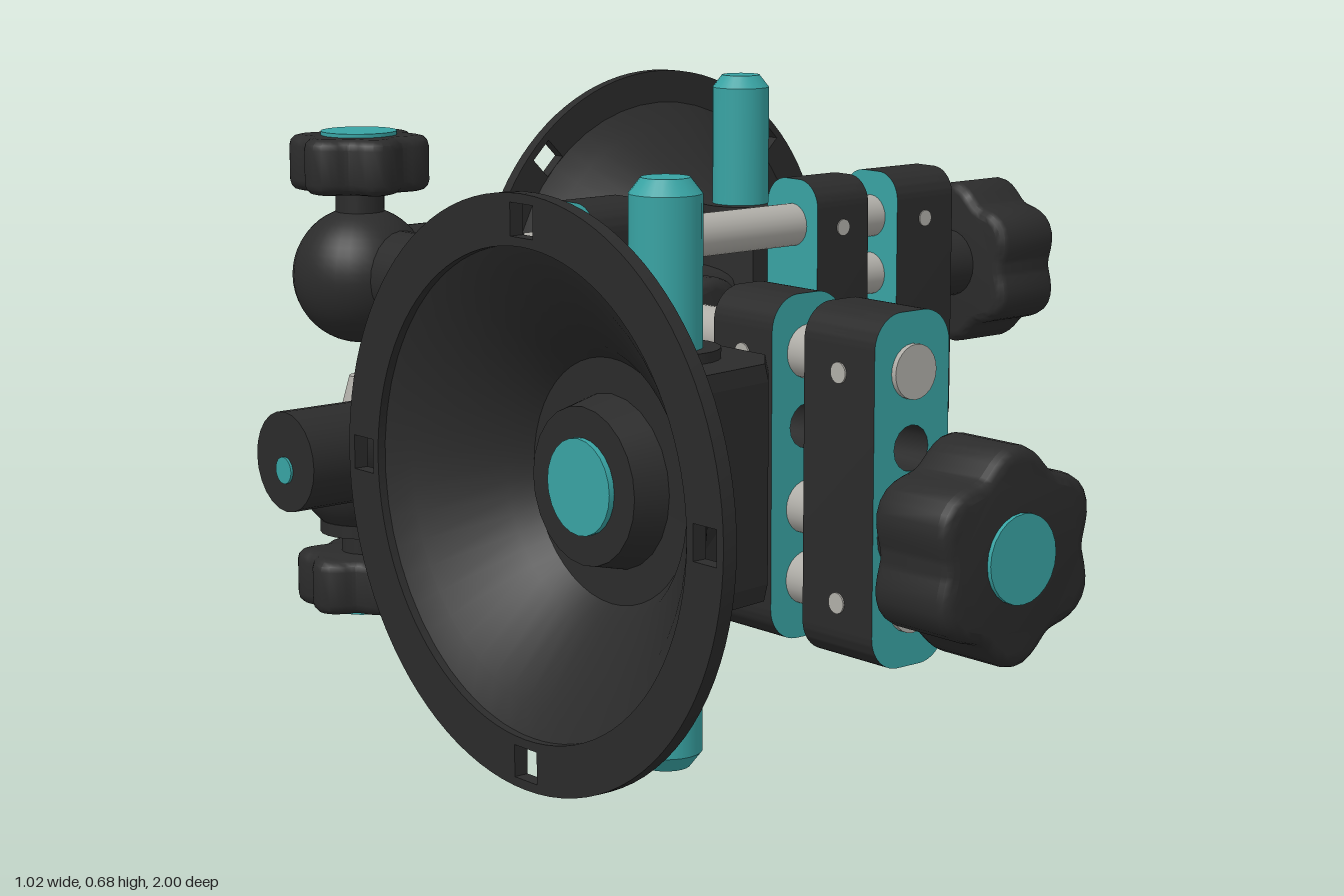
import * as THREE from 'three';
import { toCreasedNormals } from 'three/addons/utils/BufferGeometryUtils.js';

const black = new THREE.MeshStandardMaterial({ color: 0x2b2b2b, side: THREE.DoubleSide });
black.name = 'black rubber';
const teal = new THREE.MeshStandardMaterial({ color: 0x38a3a3 });
teal.name = 'teal anodised';
const steel = new THREE.MeshStandardMaterial({ color: 0xb0aea8 });
steel.name = 'steel';

const MID = 0.337; // height of the centre line

function add(parent, name, geo, mat, x = 0, y = 0, z = 0) {
  const m = new THREE.Mesh(geo, mat);
  m.name = name;
  m.position.set(x, y, z);
  parent.add(m);
  return m;
}

// cylinder running from a to b along one axis
function rod(parent, name, mat, axis, r, a, b, u, v, r2 = r) {
  const g = new THREE.CylinderGeometry(r2, r, b - a, 24);
  const c = (a + b) / 2;
  if (axis === 'x') g.rotateZ(-Math.PI / 2);
  if (axis === 'z') g.rotateX(Math.PI / 2);
  const p = axis === 'x' ? [c, u, v] : axis === 'y' ? [u, c, v] : [u, v, c];
  return add(parent, name, g, mat, ...p);
}

function lathe(points) {
  const pts = points.map(([r, y]) => new THREE.Vector2(r, y));
  return toCreasedNormals(new THREE.LatheGeometry(pts, 48), 0.5);
}

function roundedRect(w, h, r) {
  const s = new THREE.Shape();
  const x = w / 2, y = h / 2;
  s.absarc(x - r, y - r, r, 0, Math.PI / 2);
  s.absarc(-x + r, y - r, r, Math.PI / 2, Math.PI);
  s.absarc(-x + r, -y + r, r, Math.PI, Math.PI * 1.5);
  s.absarc(x - r, -y + r, r, Math.PI * 1.5, Math.PI * 2);
  s.closePath();
  return s;
}

// lobed grip with its axis on +y, base at 0, teal disc on the end
function knob(name, radius, height, disc) {
  const g = new THREE.Group();
  g.name = name;
  const b = 0.014, pts = [];
  for (let i = 0; i < 72; i++) {
    const a = (i / 72) * Math.PI * 2;
    const r = radius - b - 0.009 * (1 - Math.cos(6 * a));
    pts.push(new THREE.Vector2(r * Math.cos(a), r * Math.sin(a)));
  }
  const geo = new THREE.ExtrudeGeometry(new THREE.Shape(pts), {
    depth: height - 2 * b, bevelSize: b, bevelThickness: b, bevelSegments: 3,
  });
  geo.translate(0, 0, b);
  geo.rotateX(-Math.PI / 2);
  add(g, 'grip', toCreasedNormals(geo, 0.6), black);
  rod(g, 'gripDisc', teal, 'y', disc, height - 0.002, height + 0.005, 0, 0);
  return g;
}

// clamp plate: teal faces, black edge, rounded ends
function plate(parent, name, s, thick, width, holeY, k) {
  const shape = roundedRect(width, 0.4, 0.04);
  const hole = new THREE.Path();
  hole.absarc(0, holeY, 0.026, 0, Math.PI * 2, true);
  shape.holes.push(hole);
  const geo = new THREE.ExtrudeGeometry(shape, { depth: thick, bevelEnabled: false, curveSegments: 8 });
  geo.translate(0, 0, -thick / 2);
  geo.rotateY(Math.PI / 2);
  add(parent, name, toCreasedNormals(geo, 0.6), [teal, black], s, MID, 0);
  for (const y of [-0.13, 0.13])
    for (const d of [-1, 1])
      rod(parent, 'setScrew', steel, 'z', 0.012, d * width / 2 - 0.002, d * width / 2 + 0.002, s, MID + y);
}

// suction cup, axis on +y
function suctionCup(turn) {
  const g = new THREE.Group();
  g.name = 'suctionCup';
  add(g, 'cupShell', lathe([
    [0.001, 0.185], [0.14, 0.185], [0.15, 0.21], [0.2, 0.255], [0.25, 0.305], [0.285, 0.33],
    [0.285, 0.343], [0.245, 0.322], [0.16, 0.25], [0.14, 0.225], [0.001, 0.22],
  ]), black);
  // rim with four square slots
  const rim = new THREE.Shape();
  rim.absarc(0, 0, 0.333, 0, Math.PI * 2);
  const inner = new THREE.Path();
  inner.absarc(0, 0, 0.275, 0, Math.PI * 2, true);
  rim.holes.push(inner);
  for (let i = 0; i < 4; i++) {
    const a = turn + (i * Math.PI) / 2;
    const slot = [[0.285, -0.02], [0.285, 0.02], [0.322, 0.02], [0.322, -0.02]].map(([x, y]) =>
      new THREE.Vector2(x * Math.cos(a) - y * Math.sin(a), x * Math.sin(a) + y * Math.cos(a)));
    rim.holes.push(new THREE.Path(slot));
  }
  const geo = new THREE.ExtrudeGeometry(rim, { depth: 0.018, bevelEnabled: false, curveSegments: 48 });
  geo.rotateX(-Math.PI / 2);
  add(g, 'cupRim', toCreasedNormals(geo, 0.5), black, 0, 0.33, 0);
  // centre boss inside the cup
  rod(g, 'cupBoss', black, 'y', 0.105, 0.2, 0.265, 0, 0, 0.09);
  rod(g, 'cupBossDisc', teal, 'y', 0.055, 0.263, 0.272, 0, 0);
  return g;
}

// one arm: x runs outward along the rails, k sets the cup's side in z
function arm(k) {
  const g = new THREE.Group();
  g.name = k > 0 ? 'frontArm' : 'rearArm';
  const off = -0.047 * k;

  // rails and lead screw
  rod(g, 'upperRail', steel, 'x', 0.031, 0.12, 0.983, 0.47, 0);
  rod(g, 'lowerRail', steel, 'x', 0.031, 0.28, 0.983, 0.207, 0);
  rod(g, 'leadScrew', steel, 'x', 0.031, 0.72, 1.0, MID + off, 0);

  // plates
  plate(g, 'innerClamp', 0.343, 0.1, 0.115, -off, k);
  plate(g, 'middlePlate', 0.757, 0.1, 0.108, -off, k);
  plate(g, 'outerPlate', 0.92, 0.113, 0.113, -off, k);

  // end knob
  rod(g, 'endCollar', black, 'x', 0.05, 0.975, 1.035, MID + off, 0);
  const end = knob('endKnob', 0.122, 0.115, 0.05);
  end.position.set(1.03, MID + off, 0);
  end.rotation.z = -Math.PI / 2;
  g.add(end);

  // clamp knob on the inner side
  const neck = [-k * 0.05, -k * 0.14].sort((a, b) => a - b);
  rod(g, 'clampNeck', black, 'z', 0.045, ...neck, 0.338, MID);
  const clamp = knob('clampKnob', 0.122, 0.085, 0.05);
  clamp.position.set(0.336, MID, -k * 0.135);
  clamp.rotation.x = -k * Math.PI / 2;
  g.add(clamp);

  // cross rod with a rubber foot
  const yFoot = MID - 0.02 * k;
  const span = (a, b) => [k * a, k * b].sort((p, q) => p - q);
  rod(g, 'crossRod', steel, 'z', 0.029, ...span(0.03, 0.3), 0.33, yFoot);
  rod(g, 'rubberFoot', black, 'z', 0.06, ...span(0.275, 0.39), 0.325, yFoot);
  rod(g, 'footDisc', teal, 'z', 0.016, ...span(0.386, 0.393), 0.325, yFoot - 0.01);

  // cup mount block, post and cup
  const sec = [[-0.1, -0.025], [-0.06, -0.07], [0.06, -0.07], [0.105, -0.03], [0.12, 0.075], [-0.12, 0.075]];
  const block = new THREE.ExtrudeGeometry(
    new THREE.Shape(sec.map(([x, t]) => new THREE.Vector2(x, -k * t))),
    { depth: 0.23, bevelSize: 0.004, bevelThickness: 0.02, bevelSegments: 1 });
  block.translate(0, 0, -0.115);
  block.rotateX(-Math.PI / 2);
  add(g, 'cupMount', block, black, 0.742, MID, k * 0.13);
  rod(g, 'post', teal, 'y', 0.042, 0.018, 0.657, 0.745, k * 0.158);
  rod(g, 'postTip', teal, 'y', 0.042, 0.657, 0.675, 0.745, k * 0.158, 0.028);
  rod(g, 'postTip', teal, 'y', 0.028, 0, 0.018, 0.745, k * 0.158, 0.042);
  rod(g, 'postCollar', black, 'y', 0.06, 0.19, 0.484, 0.745, k * 0.155);
  const cup = suctionCup(k > 0 ? 0 : Math.PI / 4);
  cup.position.set(0.73, MID, 0);
  cup.rotation.x = (k * Math.PI) / 2;
  g.add(cup);

  // pump plunger on the rear mount only
  if (k < 0) {
    rod(g, 'plunger', steel, 'x', 0.028, 0.46, 0.65, 0.36, k * 0.115);
    rod(g, 'plungerCollar', black, 'x', 0.045, 0.59, 0.66, 0.36, k * 0.115);
  }

  // socket joining the rails to the hub
  rod(g, 'hubSocket', black, 'x', 0.06, 0, 0.19, 0.467, k * 0.012);

  g.position.x = -0.37;
  g.rotation.y = (-k * Math.PI) / 4;
  return g;
}

// ball joint with a knob on one end
function ballJoint(name, y, d) {
  const g = new THREE.Group();
  g.name = name;
  add(g, 'ball', new THREE.SphereGeometry(0.09, 32, 24), black);
  rod(g, 'neck', black, 'y', 0.032, 0.07, 0.125, 0, 0);
  const top = knob('hubKnob', 0.092, 0.073, 0.05);
  top.position.y = 0.112;
  g.add(top);
  g.position.set(-0.414, y, 0);
  if (d < 0) g.rotation.x = Math.PI;
  return g;
}

export function createModel() {
  const model = new THREE.Group();
  model.name = 'clampRig';
  model.add(arm(1), arm(-1));

  model.add(ballJoint('upperBallJoint', 0.465, 1));
  const lower = ballJoint('lowerBallJoint', 0.205, -1);
  rod(lower, 'collarRing', black, 'y', 0.06, 0.068, 0.085, 0, 0);
  rod(lower, 'stud', steel, 'y', 0.018, -0.125, -0.08, 0, 0, 0.03);
  model.add(lower);
  return model;
}
